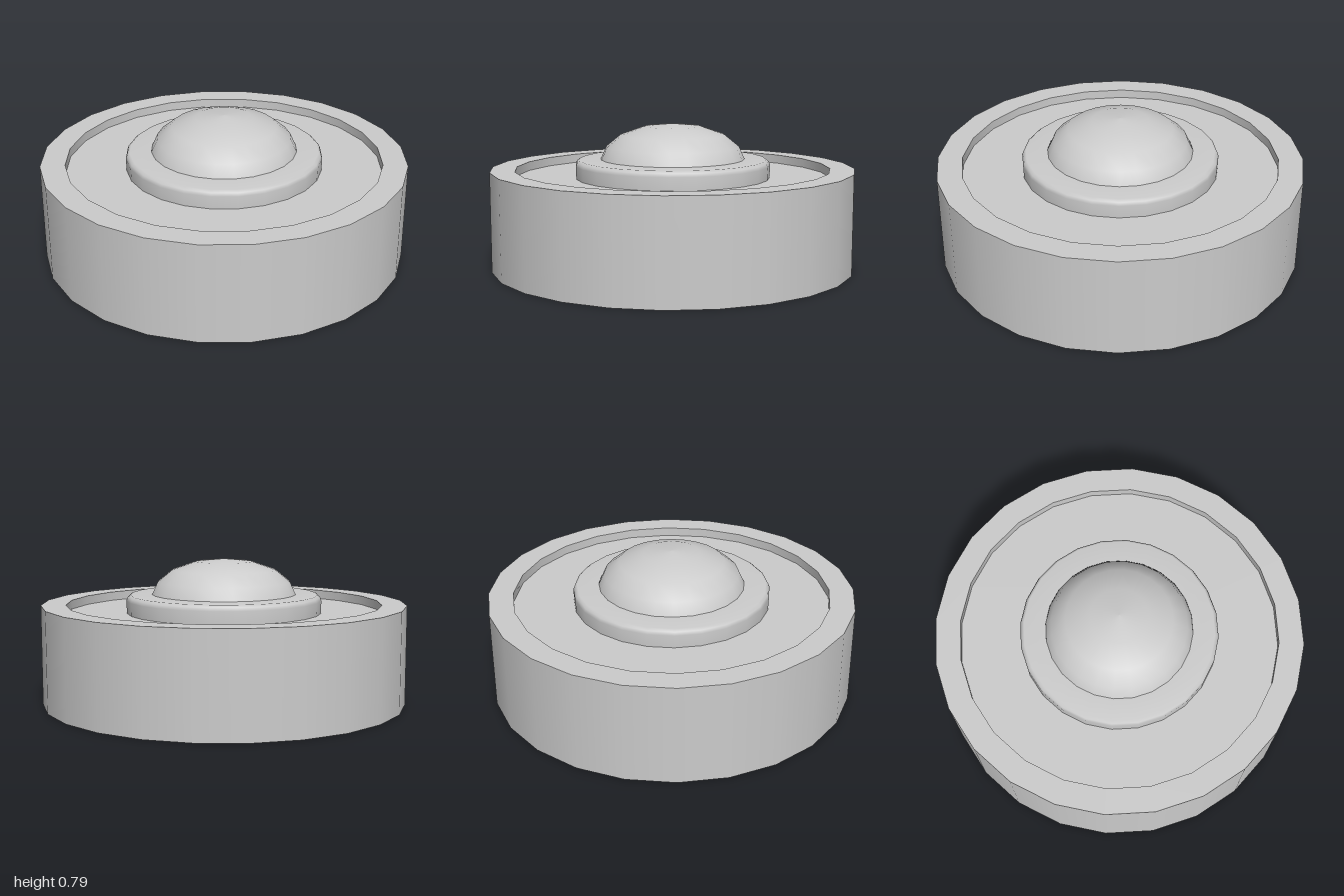
import * as THREE from 'three';

const SIDES = 24;

export function createModel() {
  const group = new THREE.Group();
  const material = new THREE.MeshStandardMaterial({ color: 0xcccccc });

  // Turns each smooth run of [radius, y] points separately, so edges between runs stay sharp.
  function turnedPart(name, runs) {
    const part = new THREE.Group();
    part.name = name;
    runs.forEach((run, i) => {
      const points = run.map(([r, y]) => new THREE.Vector2(r, y));
      const mesh = new THREE.Mesh(new THREE.LatheGeometry(points, SIDES), material);
      mesh.name = `${name}Surface${i + 1}`;
      part.add(mesh);
    });
    group.add(part);
  }

  // Drum body with a raised rim around a shallow recess
  turnedPart('base', [
    [[0, 0], [1, 0]],
    [[1, 0], [1, 0.545]],
    [[1, 0.545], [0.865, 0.545]],
    [[0.865, 0.545], [0.865, 0.495]],
    [[0.865, 0.495], [0.5, 0.495]],
  ]);

  // Collar with a softened upper edge
  turnedPart('collar', [
    [[0.535, 0.495], [0.537, 0.565], [0.53, 0.583], [0.515, 0.595], [0.397, 0.597]],
  ]);

  // Domed button
  turnedPart('dome', [
    [[0.397, 0.595], [0.365, 0.665], [0.285, 0.73], [0.155, 0.775], [0, 0.79]],
  ]);

  return group;
}
